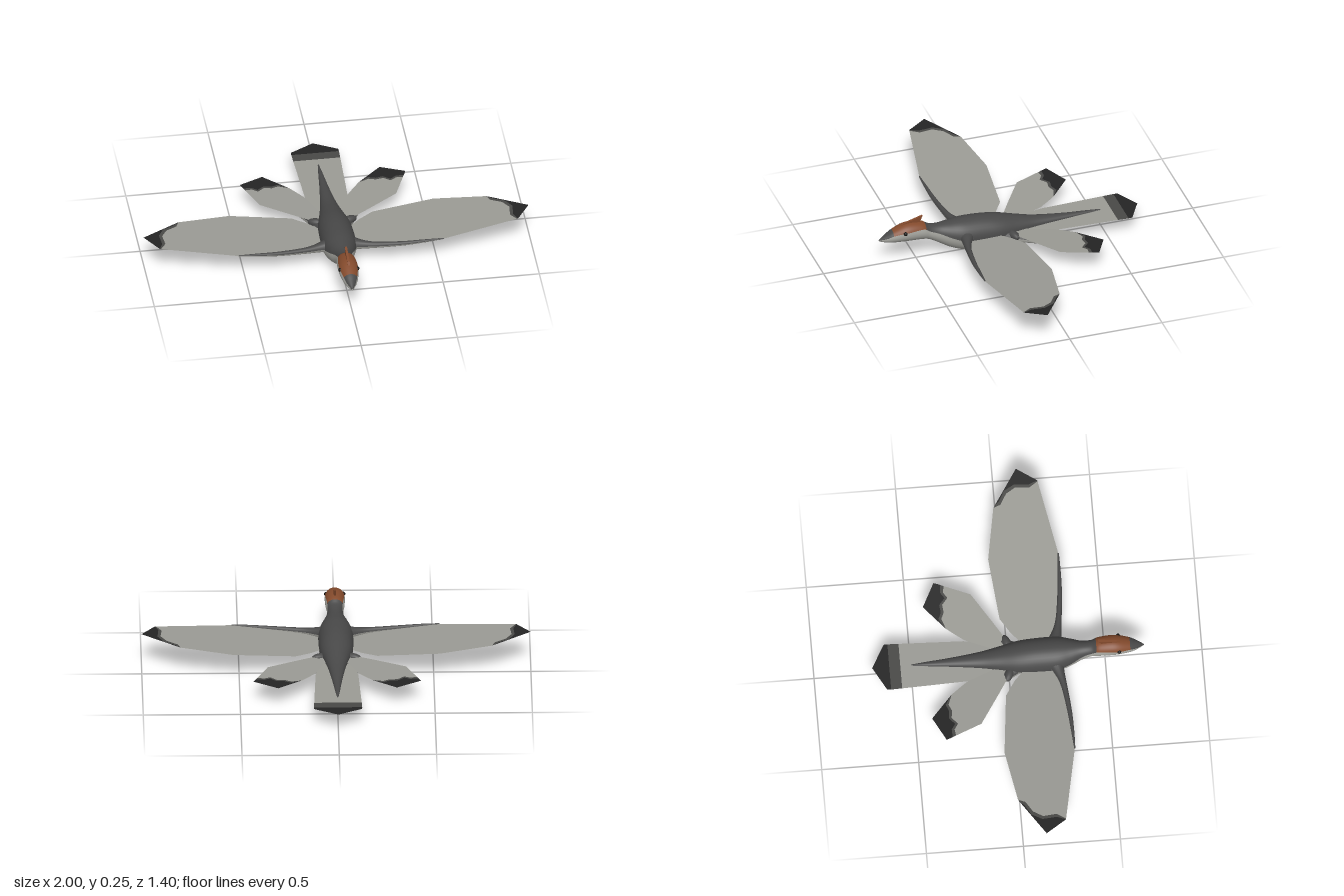
import * as THREE from 'three';

const mat = (name, color, double) => {
  const m = new THREE.MeshStandardMaterial({ color });
  m.name = name;
  if (double) m.side = THREE.DoubleSide;
  return m;
};
const V = (x, y, z) => new THREE.Vector3(x, y, z);
const UP = V(0, 1, 0);

// Smoothly resample sections [x, y, z, halfWidth, halfHeight, splitOffset]
function resample(sections, steps) {
  const a = new THREE.CatmullRomCurve3(sections.map(s => V(s[0], s[1], s[2])), false, 'catmullrom');
  const b = new THREE.CatmullRomCurve3(sections.map(s => V(s[3], s[4], s[5])), false, 'catmullrom');
  return Array.from({ length: steps + 1 }, (_, i) => ({ c: a.getPoint(i / steps), r: b.getPoint(i / steps) }));
}

// Skin the upper or lower part of oval rings, divided at the split height
function loft(rings, upper, seg = 14) {
  const d = rings[rings.length - 1].c.clone().sub(rings[0].c).setY(0).normalize();
  const side = d.cross(UP);
  const pos = [], idx = [];
  rings.forEach(({ c, r }, i) => {
    const w = Math.max(r.x, 0.001), h = Math.max(r.y, 0.001);
    const a0 = Math.asin(THREE.MathUtils.clamp(r.z / h, -0.95, 0.95));
    const from = upper ? a0 : Math.PI - a0, to = upper ? Math.PI - a0 : 2 * Math.PI + a0;
    for (let j = 0; j <= seg; j++) {
      const a = from + (to - from) * j / seg;
      const p = c.clone().addScaledVector(side, w * Math.cos(a)).addScaledVector(UP, h * Math.sin(a));
      pos.push(p.x, p.y, p.z);
      if (i < rings.length - 1 && j < seg) {
        const k = i * (seg + 1) + j, n = k + seg + 1;
        idx.push(k, n, k + 1, k + 1, n, n + 1);
      }
    }
  });
  const g = new THREE.BufferGeometry();
  g.setAttribute('position', new THREE.Float32BufferAttribute(pos, 3));
  g.setIndex(idx);
  g.computeVertexNormals();
  return g;
}

// Flat feather panel from an (x, z) outline, rising outward by slope
function panel(outline, s, y0, slope) {
  const g = new THREE.ShapeGeometry(new THREE.Shape(outline.map(p => new THREE.Vector2(p[0], p[1]))));
  const p = g.attributes.position;
  for (let i = 0; i < p.count; i++) {
    const x = p.getX(i), z = p.getY(i);
    p.setXYZ(i, s * x, y0 + slope * Math.abs(x), z);
  }
  g.computeVertexNormals();
  return g;
}

export function createModel() {
  const root = new THREE.Group();
  root.name = 'featheredGlider';
  const dark = mat('charcoal back', 0x484848, true);
  const pale = mat('pale belly', 0xa2a29c, true);
  const feather = mat('grey feather', 0x9a9a94, true);
  const band = mat('dark feather band', 0x484846, true);
  const black = mat('black feather tip', 0x242424, true);
  const rust = mat('rust crown', 0x834a2c, true);
  const eyeMat = mat('eye black', 0x141210);
  const add = (name, geo, m, parent = root) => {
    const mesh = new THREE.Mesh(geo, m);
    mesh.name = name;
    parent.add(mesh);
    return mesh;
  };

  // Body from snout to tail tip: z, top, bottom, half width, colour split height
  const body = [
    [0.70, 0.147, 0.137, 0.003, 0.143], [0.66, 0.172, 0.127, 0.026, 0.158],
    [0.62, 0.195, 0.123, 0.041, 0.175], [0.55, 0.219, 0.12, 0.052, 0.186],
    [0.47, 0.212, 0.115, 0.049, 0.188], [0.43, 0.190, 0.104, 0.042, 0.165],
    [0.38, 0.182, 0.075, 0.048, 0.145], [0.32, 0.185, 0.04, 0.07, 0.12],
    [0.25, 0.19, 0.016, 0.088, 0.10], [0.14, 0.186, 0.001, 0.09, 0.09],
    [0.05, 0.172, 0.011, 0.084, 0.09], [-0.05, 0.146, 0.038, 0.062, 0.09],
    [-0.15, 0.124, 0.055, 0.043, 0.09], [-0.30, 0.108, 0.07, 0.024, 0.09],
    [-0.42, 0.101, 0.082, 0.012, 0.092], [-0.50, 0.096, 0.09, 0.003, 0.093],
  ].map(([z, t, b, w, s]) => [0, (t + b) / 2, z, w, (t - b) / 2, s - (t + b) / 2]);
  const rings = resample(body, 90);
  const iBeak = rings.findIndex(r => r.c.z < 0.63), iNape = rings.findIndex(r => r.c.z < 0.46);
  add('belly', loft(rings, false, 18), pale);
  add('snoutTop', loft(rings.slice(0, iBeak + 1), true, 18), dark);
  add('crown', loft(rings.slice(iBeak, iNape + 1), true, 18), rust);
  add('back', loft(rings.slice(iNape), true, 18), dark);

  // Swept crest on the crown
  const crestShape = new THREE.Shape([[0.61, 0.195], [0.56, 0.222], [0.465, 0.25], [0.485, 0.205]]
    .map(p => new THREE.Vector2(p[0], p[1])));
  const crest = new THREE.ExtrudeGeometry(crestShape, { depth: 0.012, bevelEnabled: false });
  crest.translate(0, 0, -0.006).rotateY(-Math.PI / 2);
  add('crest', crest, rust);

  // Tail fan in three colours
  add('tailFeathers', panel([[0.085, -0.08], [0.11, -0.22], [0.122, -0.555], [-0.122, -0.555], [-0.11, -0.22], [-0.085, -0.08]], 1, 0.09, 0), feather);
  add('tailBand', panel([[0.122, -0.555], [0.124, -0.612], [-0.124, -0.612], [-0.122, -0.555]], 1, 0.09, 0), band);
  add('tailTip', panel([[0.124, -0.612], [0.123, -0.632], [0, -0.70], [-0.123, -0.632], [-0.124, -0.612]], 1, 0.09, 0), black);

  // Ragged colour borders, listed from leading to trailing edge
  const wingInner = [[0.925, 0.226], [0.895, 0.18], [0.902, 0.11], [0.872, 0.06], [0.815, 0.025], [0.80, -0.012]];
  const wingOuter = [[0.93, 0.225], [0.912, 0.18], [0.918, 0.105], [0.888, 0.05], [0.835, 0.02], [0.808, -0.007]];
  const hindInner = [[0.41, -0.30], [0.375, -0.305], [0.345, -0.285], [0.31, -0.315], [0.27, -0.31], [0.235, -0.325], [0.18, -0.305]];
  const hindOuter = [[0.418, -0.318], [0.375, -0.32], [0.345, -0.30], [0.31, -0.33], [0.27, -0.325], [0.235, -0.34], [0.19, -0.314]];
  const rev = a => [...a].reverse();

  for (const s of [1, -1]) {
    const sideName = s > 0 ? 'left' : 'right';
    const wing = new THREE.Group();
    wing.name = sideName + 'Wing';
    const hind = new THREE.Group();
    hind.name = sideName + 'HindWing';
    root.add(wing, hind);

    // Front wing panels
    const w = o => panel(o, s, 0.091, 0.079);
    add('wingFeathers', w([[0.06, 0.25], [0.2, 0.275], [0.53, 0.303], ...wingInner, [0.53, -0.06], [0.21, -0.027], [0.13, 0.025], [0.06, 0.09]]), feather, wing);
    add('wingBand', w([...wingInner, ...rev(wingOuter)]), band, wing);
    add('wingTip', w([...wingOuter, [1.0, 0.12]].reverse()), black, wing);

    // Arm along the leading edge
    const arm = resample([
      [s * 0.04, 0.115, 0.235, 0.05, 0.04, 0], [s * 0.10, 0.112, 0.255, 0.028, 0.026, 0],
      [s * 0.18, 0.112, 0.275, 0.016, 0.017, 0], [s * 0.32, 0.118, 0.292, 0.012, 0.012, 0],
      [s * 0.44, 0.127, 0.299, 0.008, 0.008, 0], [s * 0.535, 0.134, 0.302, 0.003, 0.003, 0],
    ], 24);
    add('armTop', loft(arm, true, 8), dark, wing);
    add('armUnderside', loft(arm, false, 8), pale, wing);

    // Hind wing panels
    const h = o => panel(o, s, 0.09, 0.06);
    add('hindFeathers', h([[0.04, 0.03], [0.12, -0.015], [0.20, -0.065], [0.355, -0.165], ...hindInner, [0.145, -0.26], [0.112, -0.215], [0.05, -0.06]]), feather, hind);
    add('hindBand', h([...hindInner, ...rev(hindOuter)]), band, hind);
    add('hindTip', h([...hindOuter, [0.305, -0.415], [0.43, -0.35]]), black, hind);

    // Leg trailing beneath the hind wing, with a dark thigh
    const leg = resample([
      [s * 0.04, 0.075, 0.05, 0.04, 0.034, 0.01], [s * 0.085, 0.073, -0.01, 0.027, 0.026, 0.008],
      [s * 0.14, 0.07, -0.09, 0.014, 0.015, 0.004], [s * 0.21, 0.07, -0.19, 0.009, 0.01, 0.002],
      [s * 0.27, 0.073, -0.28, 0.003, 0.003, 0],
    ], 20);
    add('legTop', loft(leg, true, 8), dark, hind);
    add('legUnderside', loft(leg, false, 8), pale, hind);
    const thigh = new THREE.SphereGeometry(1, 14, 10);
    thigh.scale(0.045, 0.022, 0.022).rotateY(s * 0.35).translate(s * 0.085, 0.088, 0.0);
    add('thigh', thigh, dark, hind);

    // Eye
    const eye = new THREE.SphereGeometry(0.011, 12, 8);
    eye.translate(s * 0.044, 0.182, 0.57);
    add(sideName + 'Eye', eye, eyeMat);
  }
  return root;
}
